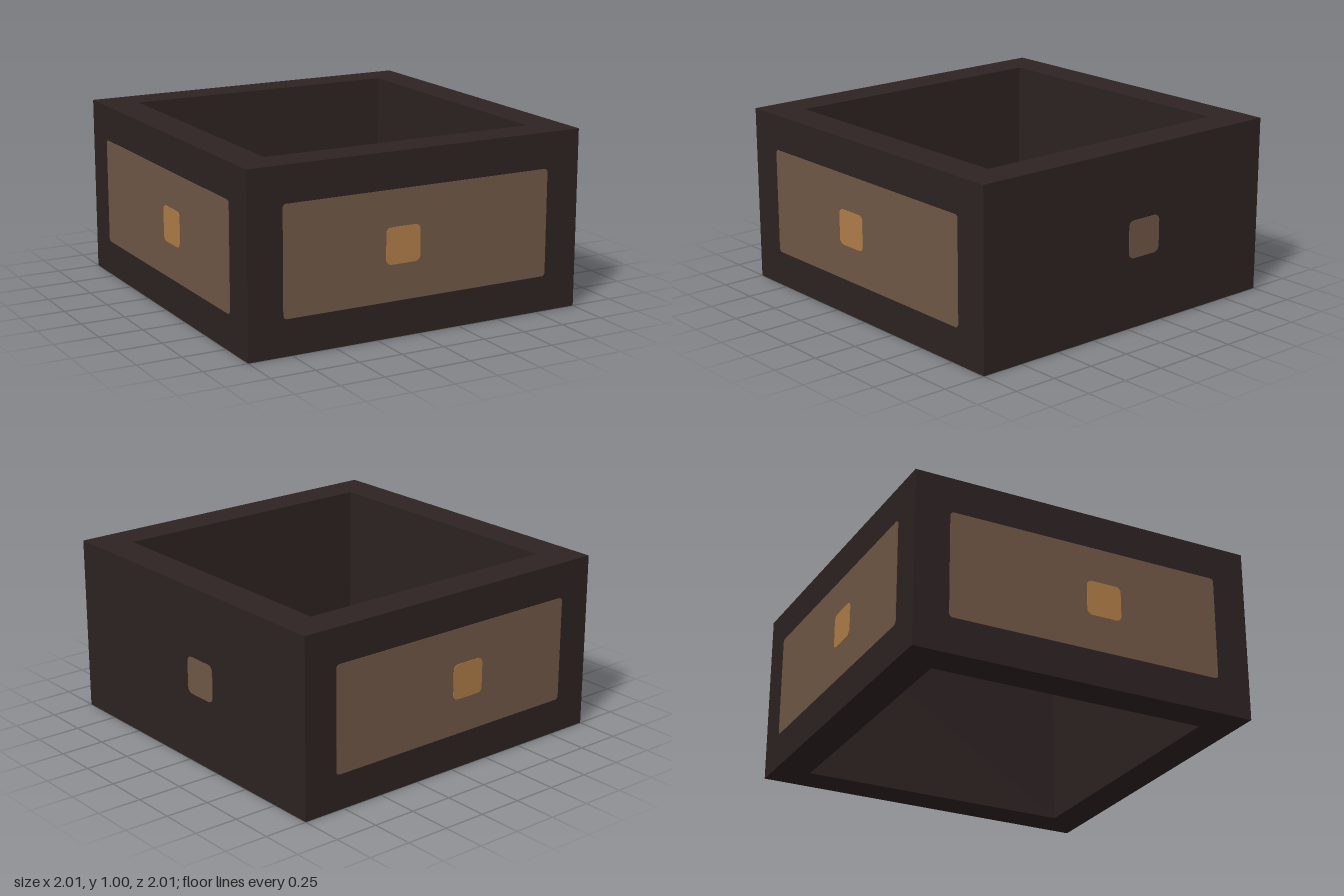
import * as THREE from 'three';

const flat = (name, color) => {
  const m = new THREE.MeshStandardMaterial({ color });
  m.name = name;
  return m;
};

function roundedRect(w, h, r) {
  const x = w / 2, y = h / 2, s = new THREE.Shape();
  s.absarc(x - r, y - r, r, 0, Math.PI / 2);
  s.absarc(r - x, y - r, r, Math.PI / 2, Math.PI);
  s.absarc(r - x, r - y, r, Math.PI, Math.PI * 1.5);
  s.absarc(x - r, r - y, r, Math.PI * 1.5, Math.PI * 2);
  s.closePath();
  return s;
}

function square(PathType, half) {
  return new PathType([[-1, -1], [1, -1], [1, 1], [-1, 1]]
    .map(([x, y]) => new THREE.Vector2(x * half, y * half)));
}

export function createModel() {
  const model = new THREE.Group();
  model.name = 'squareFrameBox';
  const dark = flat('darkBrown', 0x2d2322);
  const brown = flat('midBrown', 0x705846);
  const amber = flat('amber', 0xb07d48);

  // Thick walls, open at top and bottom
  const outline = square(THREE.Shape, 1);
  outline.holes.push(square(THREE.Path, 0.8));
  const wallGeometry = new THREE.ExtrudeGeometry(outline, { depth: 1, bevelEnabled: false });
  wallGeometry.rotateX(-Math.PI / 2);
  const walls = new THREE.Mesh(wallGeometry, dark);
  walls.name = 'walls';
  model.add(walls);

  // Thin rounded plate on a wall; u runs to the right as that wall is faced
  function plate(side, name, material, u, w, h, r, depth) {
    const geometry = new THREE.ExtrudeGeometry(roundedRect(w, h, r),
      { depth, bevelEnabled: false, curveSegments: 5 });
    const mesh = new THREE.Mesh(geometry, material);
    mesh.name = name;
    mesh.position.set(u, 0.5, 1);
    side.add(mesh);
  }

  // Each wall: turn about y, offset of its small square, whether it has a panel
  const sides = [
    ['front', 0, -0.1, true],
    ['right', Math.PI / 2, 0.1, false],
    ['back', Math.PI, 0.1, true],
    ['left', -Math.PI / 2, 0.1, true],
  ];
  for (const [name, turn, u, hasPanel] of sides) {
    const side = new THREE.Group();
    side.name = name + 'Side';
    side.rotation.y = turn;
    if (hasPanel) {
      plate(side, 'panel', brown, 0, 1.6, 0.6, 0.02, 0.003);
      plate(side, 'knob', amber, u, 0.205, 0.2, 0.03, 0.006);
    } else {
      plate(side, 'knob', brown, u + 0.01, 0.22, 0.21, 0.035, 0.003);
    }
    model.add(side);
  }
  return model;
}
